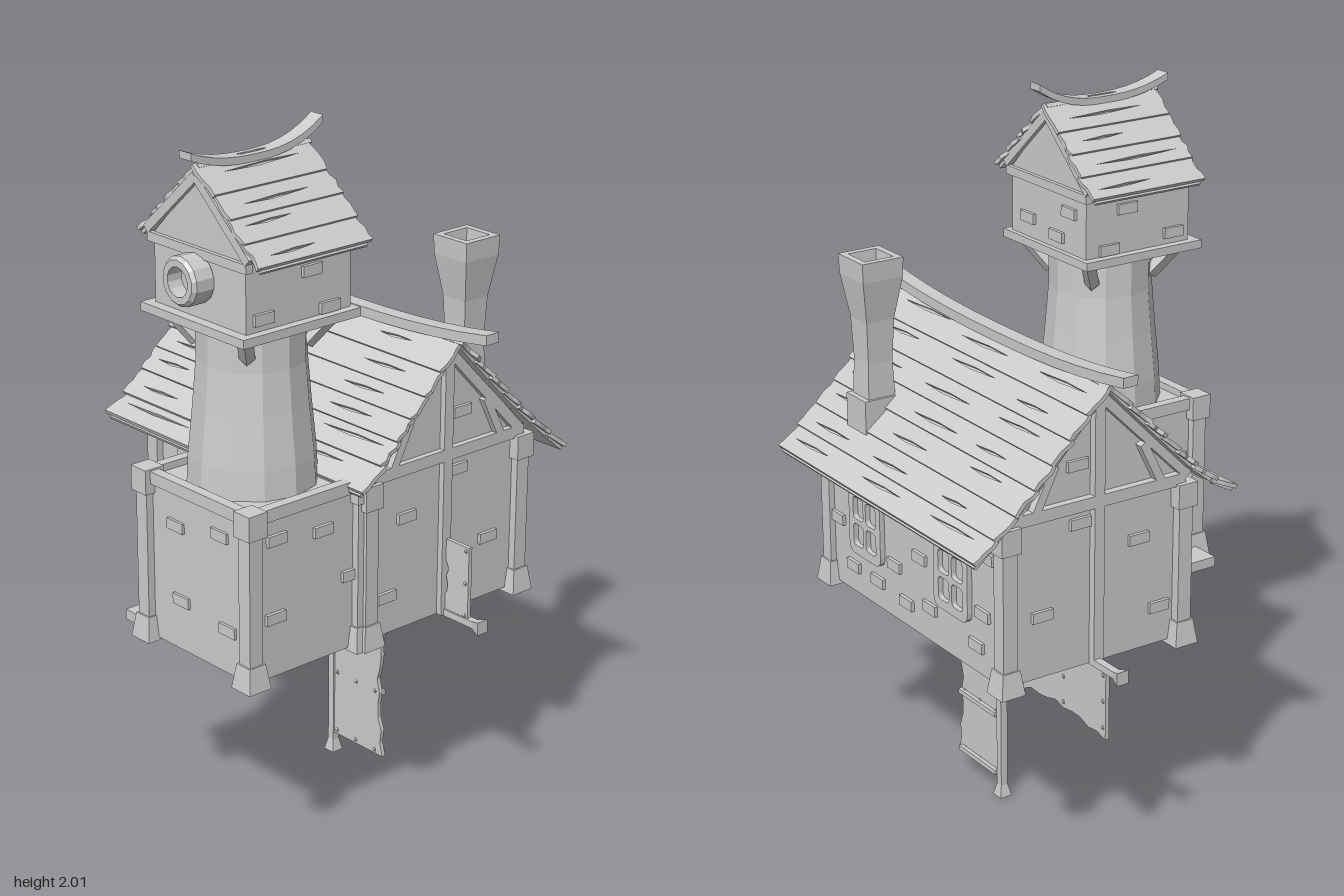
import * as THREE from 'three';

const mat = new THREE.MeshStandardMaterial({ color: 0xcccccc, flatShading: true, side: THREE.DoubleSide });
let seed = 7;
const rnd = () => (seed = (seed * 16807) % 2147483647) / 2147483647;
const V = (x, y, z) => new THREE.Vector3(x, y, z);

function add(parent, name, geo, x = 0, y = 0, z = 0) {
  const m = new THREE.Mesh(geo, mat);
  m.name = name;
  m.position.set(x, y, z);
  parent.add(m);
  return m;
}
function group(parent, name) {
  const g = new THREE.Group();
  g.name = name;
  parent.add(g);
  return g;
}
// Box given by its min and max corners
const block = (p, name, x0, x1, y0, y1, z0, z1) =>
  add(p, name, new THREE.BoxGeometry(x1 - x0, y1 - y0, z1 - z0), (x0 + x1) / 2, (y0 + y1) / 2, (z0 + z1) / 2);
// Square bar between two points
function beam(p, name, a, b, w, d = w) {
  const dir = b.clone().sub(a);
  const m = add(p, name, new THREE.BoxGeometry(w, dir.length(), d));
  m.position.copy(a).add(b).multiplyScalar(0.5);
  m.quaternion.setFromUnitVectors(V(0, 1, 0), dir.normalize());
  return m;
}
// Square frustum with half widths at top and bottom
const frustum = (p, name, top, bottom, h, x, y, z) =>
  add(p, name, new THREE.CylinderGeometry(top * Math.SQRT2, bottom * Math.SQRT2, h, 4).rotateY(Math.PI / 4), x, y, z);
const extrude = (shape, depth) => new THREE.ExtrudeGeometry(shape, { depth, bevelEnabled: false, curveSegments: 4 });
const poly = pts => new THREE.Shape(pts.map(q => new THREE.Vector2(q[0], q[1])));

// Corner post with flared foot and cap
function post(p, x, z, top) {
  const g = group(p, 'cornerPost');
  block(g, 'postShaft', x - 0.022, x + 0.022, 0.6, top, z - 0.022, z + 0.022);
  frustum(g, 'postFoot', 0.027, 0.037, 0.07, x, 0.622, z);
  block(g, 'postCap', x - 0.031, x + 0.031, top - 0.07, top, z - 0.031, z + 0.031);
}

// Plank with ragged ends and a few splits
function plankGeometry(x0, x1, h) {
  const pts = [];
  for (let i = 0; i <= 4; i++) pts.push([x1 - rnd() * 0.012, (h * i) / 4]);
  for (let i = 4; i >= 0; i--) pts.push([x0 + rnd() * 0.012, (h * i) / 4]);
  const s = poly(pts), L = x1 - x0, n = L > 0.6 ? 3 : 1;
  for (let i = 0; i < n; i++) {
    const len = (L / n) * (0.35 + 0.4 * rnd());
    const a = x0 + (L / n) * (i + 0.08 + 0.12 * rnd()), y = h * (0.35 + 0.3 * rnd());
    s.holes.push(new THREE.Path([[0, 0], [0.45, -0.004], [1, 0.004], [0.55, 0.006]].map(
      q => new THREE.Vector2(a + q[0] * len, y + q[1]))));
  }
  return extrude(s, 0.012);
}
// Roof side descending toward +z, one plank per profile step, over a thin underlay
function slope(p, profile, x0, x1) {
  for (let i = 0; i + 1 < profile.length; i++) {
    const [z0, y0] = profile[i], [z1, y1] = profile[i + 1];
    const h = Math.hypot(z1 - z0, y1 - y0), tilt = Math.atan2(z0 - z1, y0 - y1);
    const m = add(p, 'roofPlank', plankGeometry(x0 - rnd() * 0.008, x1, h + 0.006), 0, y1, z1);
    m.rotation.x = tilt - 0.09;
    beam(p, 'roofUnderlay', V((x0 + x1) / 2, y0 - 0.008, z0), V((x0 + x1) / 2, y1 - 0.008, z1), x1 - x0 - 0.03, 0.01);
  }
}
// Ridge beam bent upward at both ends, running along x
function ridge(p, x0, x1, y, lift0, lift1, w, t) {
  const up = [], low = [];
  for (let i = 0; i <= 12; i++) {
    const u = i / 6 - 1, x = x0 + ((x1 - x0) * i) / 12;
    const h = y + (u < 0 ? lift0 : lift1) * Math.abs(u) ** 2.5;
    low.push([x, h]);
    up.unshift([x, h + t]);
  }
  return add(p, 'ridgeBeam', extrude(poly(low.concat(up)), w).translate(0, 0, -w / 2));
}

function roundRect(S, x, y, w, h, r) {
  const s = new S();
  s.moveTo(x + r, y).lineTo(x + w - r, y).quadraticCurveTo(x + w, y, x + w, y + r);
  s.lineTo(x + w, y + h - r).quadraticCurveTo(x + w, y + h, x + w - r, y + h);
  s.lineTo(x + r, y + h).quadraticCurveTo(x, y + h, x, y + h - r);
  s.lineTo(x, y + r).quadraticCurveTo(x, y, x + r, y);
  return s;
}
// Four-pane window facing +z, turned by angle
function windowFrame(p, x, y, z, angle = 0) {
  const g = group(p, 'window');
  const s = roundRect(THREE.Shape, -0.083, -0.1, 0.166, 0.2, 0.03);
  for (const i of [-1, 1]) for (const j of [-1, 1])
    s.holes.push(roundRect(THREE.Path, i * 0.033 - 0.026, j * 0.04 - 0.033, 0.052, 0.066, 0.014));
  add(g, 'windowSurround', extrude(s, 0.025), 0, 0, -0.01);
  g.position.set(x, y, z);
  g.rotation.y = angle;
}

// Cloth panel with one wavy edge, u along the wave and v toward it, plus rivets
function banner(p, corner, u, v, length, drop, rows) {
  const pts = [[0, 0], [length, 0]];
  for (let i = 10; i >= 0; i--) pts.push([(length * i) / 10, drop - 0.02 * Math.sin((Math.PI * i) / 10) - 0.006 * Math.sin(i * 2.3)]);
  const at = ([a, b]) => [corner[0] + u[0] * a + v[0] * b, corner[1] + u[1] * a + v[1] * b];
  add(p, 'banner', extrude(poly(pts.map(at)), 0.012), 0, 0, -0.171);
  for (let i = 0; i < 3; i++) for (let j = 0; j < rows; j++) {
    const [x, y] = at([0.012 + ((length - 0.024) * i) / 2, 0.012 + ((drop - 0.045) * j) / Math.max(1, rows - 1)]);
    add(p, 'rivet', new THREE.SphereGeometry(0.008, 6, 4), x, y, -0.165).scale.z = 1.5;
  }
}

export function createModel() {
  const root = new THREE.Group();
  root.name = 'house';

  // Main hall with gabled ends
  const hall = group(root, 'hall');
  const body = poly([[-0.12, 0.6], [0.45, 0.6], [0.45, 1.06], [0.16, 1.37], [-0.12, 1.08]]);
  add(hall, 'hallWalls', extrude(body, 0.88).rotateY(Math.PI / 2), -0.45, 0, 0);
  for (const x of [-0.455, 0.43]) {
    for (const z of [0.12, -0.445]) post(hall, x, z, 1.06);
    const c = (a, b, w) => beam(hall, 'gableTimber', V(x, ...a), V(x, ...b), 0.035, w);
    c([0.6, -0.16], [1.38, -0.16], 0.032);
    c([1.07, 0.12], [1.07, -0.45], 0.034);
    c([1.08, 0.13], [1.365, -0.16], 0.03);
    c([1.07, -0.44], [1.365, -0.16], 0.03);
    c([1.08, 0.04], [1.2, -0.02], 0.025);
    c([1.08, -0.36], [1.2, -0.3], 0.025);
  }
  for (const z of [0.12, -0.447]) block(hall, 'wallPlate', -0.45, 0.43, 1.03, 1.06, z - 0.015, z + 0.015);
  windowFrame(hall, -0.265, 0.85, 0.12);
  for (const x of [-0.22, 0.22]) windowFrame(hall, x, 0.83, -0.45, Math.PI);

  // Hall roof, with an extra eave row beside the tower
  const roof = group(root, 'hallRoof');
  const front = group(roof, 'frontSlope'), back = group(roof, 'backSlope');
  front.position.z = back.position.z = -0.16;
  back.rotation.y = Math.PI;
  const rows = [[0, 1.4], [0.07, 1.328], [0.125, 1.272], [0.175, 1.222], [0.225, 1.172], [0.28, 1.118], [0.35, 1.062]];
  slope(front, rows, -0.52, 0.495);
  slope(front, [[0.345, 1.062], [0.42, 1.022]], -0.51, -0.03);
  slope(back, [[0, 1.4], [0.065, 1.33], [0.12, 1.273], [0.175, 1.217], [0.23, 1.162], [0.29, 1.105], [0.35, 1.052], [0.41, 1.0]], -0.495, 0.52);
  ridge(roof, -0.6, 0.6, 1.385, 0.04, 0.04, 0.046, 0.028).position.z = -0.16;

  // Chimney, open at the flared top
  const chimney = group(root, 'chimney');
  block(chimney, 'chimneyBase', 0.205, 0.305, 1.06, 1.2, -0.46, -0.36);
  const flue = [[0.042, 1.2], [0.038, 1.3], [0.043, 1.42], [0.062, 1.54], [0.064, 1.595], [0.044, 1.595], [0.034, 1.45], [0, 1.45]];
  add(chimney, 'chimneyFlue', new THREE.LatheGeometry(flue.map(q => new THREE.Vector2(q[0] * Math.SQRT2, q[1])), 4)
    .rotateY(Math.PI / 4), 0.255, 0, -0.402);

  // Tower base, side landing and door
  const tower = group(root, 'tower');
  block(tower, 'towerBase', 0, 0.42, 0.595, 1.06, 0.1, 0.515);
  block(tower, 'towerBaseRimFront', 0, 0.42, 1.045, 1.08, 0.5, 0.53);
  for (const x of [0, 0.42]) {
    block(tower, 'towerBaseRimSide', x - 0.015, x + 0.015, 1.045, 1.08, 0.13, 0.53);
    for (const z of [0.14, 0.515]) post(tower, x, z, 1.085);
  }
  block(tower, 'landing', -0.122, 0, 0.59, 0.62, 0.13, 0.505);
  block(tower, 'doorStep', -0.08, 0, 0.62, 0.65, 0.2, 0.44);
  block(tower, 'door', -0.012, 0, 0.65, 0.95, 0.25, 0.4);

  // Tapered shaft, platform and brackets
  const shaft = [[0.176, 1.06], [0.172, 1.14], [0.158, 1.28], [0.148, 1.4], [0.148, 1.52]];
  add(tower, 'towerShaft', new THREE.LatheGeometry(shaft.map(q => new THREE.Vector2(...q)), 12), 0.2, 0, 0.32);
  block(tower, 'platform', 0.0, 0.41, 1.518, 1.542, 0.13, 0.525);
  for (const i of [-1, 1]) for (const j of [-1, 1])
    beam(tower, 'bracket', V(0.2 + i * 0.1, 1.44, 0.32 + j * 0.1), V(0.2 + i * 0.15, 1.52, 0.32 + j * 0.15), 0.03);

  // Turret room with gable trim and round window
  const turret = group(root, 'turret');
  add(turret, 'turretWalls', extrude(poly([[0.025, 1.54], [0.385, 1.54], [0.385, 1.73], [0.205, 1.91], [0.025, 1.73]]), 0.35), 0, 0, 0.145);
  for (const z of [0.145, 0.495]) {
    block(turret, 'gableTie', 0.01, 0.4, 1.705, 1.73, z - 0.012, z + 0.012);
    for (const s of [-1, 1]) beam(turret, 'gableTrim', V(0.205, 1.915, z), V(0.205 + s * 0.2, 1.735, z), 0.025, 0.026);
  }
  const ring = [[0, 0.02], [0.04, 0.02], [0.04, 0.065], [0.058, 0.065], [0.067, 0.055], [0.067, 0]];
  add(turret, 'roundWindow', new THREE.LatheGeometry(ring.map(q => new THREE.Vector2(...q)), 14).rotateX(Math.PI / 2), 0.2, 1.65, 0.498);
  const cap = group(turret, 'turretRoof');
  cap.position.set(0.205, 0, 0.315);
  cap.rotation.y = Math.PI / 2;
  for (const a of [0, Math.PI]) {
    const side = group(cap, 'turretSlope');
    side.rotation.y = a;
    slope(side, [[0, 1.94], [0.07, 1.873], [0.125, 1.822], [0.18, 1.772], [0.233, 1.722]], -0.193, 0.193);
  }
  ridge(cap, -0.22, 0.215, 1.925, 0.037, 0.062, 0.046, 0.02);

  // Raised bricks
  const bricks = group(root, 'bricks');
  const sideBrick = (x, list) => list.forEach(([z, y]) => add(bricks, 'brick', new THREE.BoxGeometry(0.02, 0.03, 0.064), x, y, z));
  const faceBrick = (z, list) => list.forEach(([x, y]) => add(bricks, 'brick', new THREE.BoxGeometry(0.064, 0.03, 0.02), x, y, z));
  const gable = [[-0.02, 0.925], [0.05, 0.71], [-0.22, 1.18], [-0.21, 1.015], [-0.33, 0.78]];
  sideBrick(0.42, [[0.43, 0.985], [0.27, 0.965], [0.435, 0.765], [0.17, 0.81]]);
  sideBrick(0.43, gable);
  sideBrick(-0.45, gable);
  sideBrick(0, [[0.45, 0.9], [0.19, 0.8]]);
  for (const x of [0.025, 0.385]) sideBrick(x, [[0.28, 1.67], [0.44, 1.575], [0.22, 1.56]]);
  faceBrick(0.145, [[0.1, 1.66], [0.3, 1.6], [0.16, 1.58]]);
  faceBrick(0.513, [[0.12, 0.95], [0.3, 0.98], [0.14, 0.74], [0.33, 0.72]]);
  faceBrick(-0.45, [[-0.38, 0.95], [-0.36, 0.78], [-0.33, 0.68], [-0.08, 0.95], [-0.05, 0.83], [-0.1, 0.7], [0.05, 0.92],
    [0.08, 0.76], [0.02, 0.67], [0.36, 0.95], [0.38, 0.8], [0.3, 0.68], [0.17, 0.68]]);

  // Poles and banners under and beside the hall
  const rig = group(root, 'bannerRig'), z = -0.165;
  block(rig, 'hangingPole', -0.022, 0.0, 0.02, 0.6, z - 0.011, z + 0.011);
  frustum(rig, 'poleFoot', 0.011, 0.019, 0.035, -0.011, 0.0175, z);
  for (const s of [-1, 1]) beam(rig, 'poleStrut', V(-0.011, 0.5, z), V(-0.011 + s * 0.1, 0.59, z), 0.02);
  block(rig, 'crossPole', -0.57, 0.57, 0.597, 0.617, z - 0.011, z + 0.011);
  for (const s of [-1, 1]) {
    const knob = frustum(rig, 'poleEnd', 0.011, 0.019, 0.03, s * 0.573, 0.607, z);
    knob.rotation.z = (s * Math.PI) / 2;
  }
  banner(rig, [0, 0.06], [0, 1], [1, 0], 0.4, 0.205, 3);
  for (const y of [0.07, 0.255, 0.45]) block(rig, 'bannerBatten', 0, 0.19, y - 0.007, y + 0.007, z - 0.018, z - 0.004);
  banner(rig, [-0.52, 0.597], [1, 0], [0, -1], 0.39, 0.2, 3);
  banner(rig, [0.535, 0.61], [0, 1], [-1, 0], 0.215, 0.1, 1);
  return root;
}
